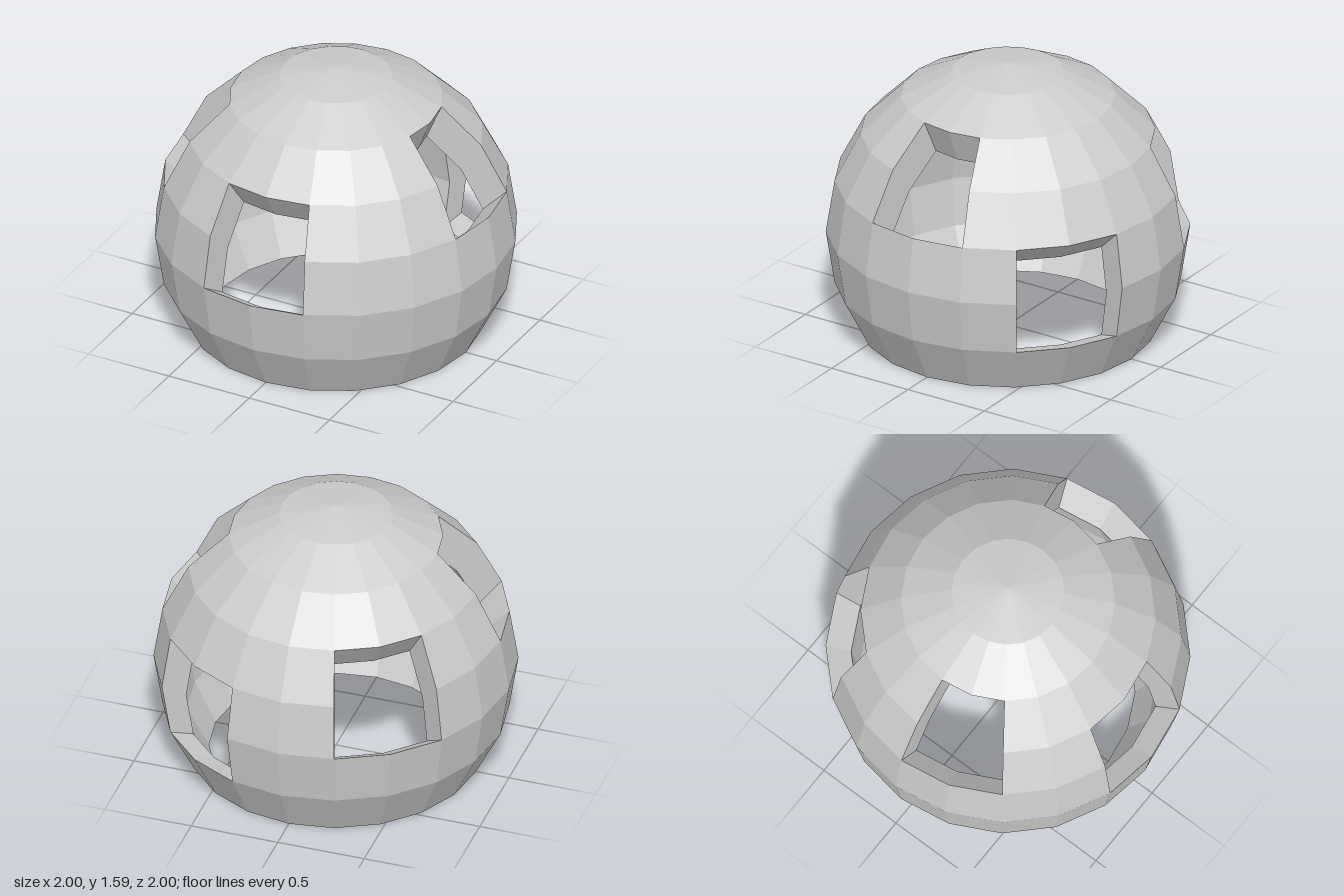
import * as THREE from 'three';

const STEP = Math.PI / 10;           // 18 degrees, both around and up
const SIDES = 20, LOW = -2, TOP = 5; // rings run from the open base to the pole
const INNER = 0.86;                  // inner surface is scaled about the base centre
const BASE = Math.sin(2 * STEP);     // height of the equator above the ground

// Two-by-two-cell openings: first column (from the front towards +x) and lowest ring
const WINDOWS = [
  { name: 'frontWindow', col: -1, row: 0 },
  { name: 'leftWindow', col: 4, row: 1 },
  { name: 'backLeftWindow', col: 7, row: -1 },
  { name: 'backRightWindow', col: 11, row: 0 },
  { name: 'rightWindow', col: 15, row: 1 },
];

// Grid point on the dome
function point(col, row, scale = 1) {
  const r = row === TOP ? 0 : Math.cos(row * STEP);
  const y = row === LOW ? 0 : BASE + Math.sin(row * STEP);
  return [r * Math.sin(col * STEP), y, r * Math.cos(col * STEP)].map(v => v * scale);
}

function isOpen(col, row) {
  return WINDOWS.some(w => (col - w.col + SIDES) % SIDES < 2 && row >= w.row && row < w.row + 2);
}

function quad(out, a, b, c, d) {
  out.push(...a, ...b, ...c, ...a, ...c, ...d);
}

export function createModel() {
  const group = new THREE.Group();
  group.name = 'dome';
  const material = new THREE.MeshStandardMaterial({ color: 0xcccccc, flatShading: true });

  function add(name, positions) {
    const geometry = new THREE.BufferGeometry();
    geometry.setAttribute('position', new THREE.Float32BufferAttribute(positions, 3));
    geometry.computeVertexNormals();
    const mesh = new THREE.Mesh(geometry, material);
    mesh.name = name;
    group.add(mesh);
  }

  // Outer and inner skins, with the window cells left out
  const outer = [], inner = [], rim = [];
  for (let col = 0; col < SIDES; col++) {
    for (let row = LOW; row < TOP; row++) {
      if (isOpen(col, row)) continue;
      const corners = s => [point(col, row, s), point(col + 1, row, s),
        point(col + 1, row + 1, s), point(col, row + 1, s)];
      const [a, b, c, d] = corners(1), [e, f, g, h] = corners(INNER);
      if (row === TOP - 1) {
        outer.push(...a, ...b, ...c);
        inner.push(...f, ...e, ...g);
      } else {
        quad(outer, a, b, c, d);
        quad(inner, f, e, h, g);
      }
    }
    // Flat ring under the wall
    quad(rim, point(col + 1, LOW), point(col, LOW), point(col, LOW, INNER), point(col + 1, LOW, INNER));
  }
  add('outerShell', outer);
  add('innerShell', inner);
  add('baseRim', rim);

  // Reveals through the wall thickness, walked counter-clockwise round each opening
  const LOOP = [[0, 0], [1, 0], [2, 0], [2, 1], [2, 2], [1, 2], [0, 2], [0, 1]];
  for (const { name, col, row } of WINDOWS) {
    const reveal = [];
    LOOP.forEach(([c, r], i) => {
      const [c2, r2] = LOOP[(i + 1) % LOOP.length];
      quad(reveal, point(col + c, row + r), point(col + c2, row + r2),
        point(col + c2, row + r2, INNER), point(col + c, row + r, INNER));
    });
    add(name + 'Reveal', reveal);
  }
  return group;
}
